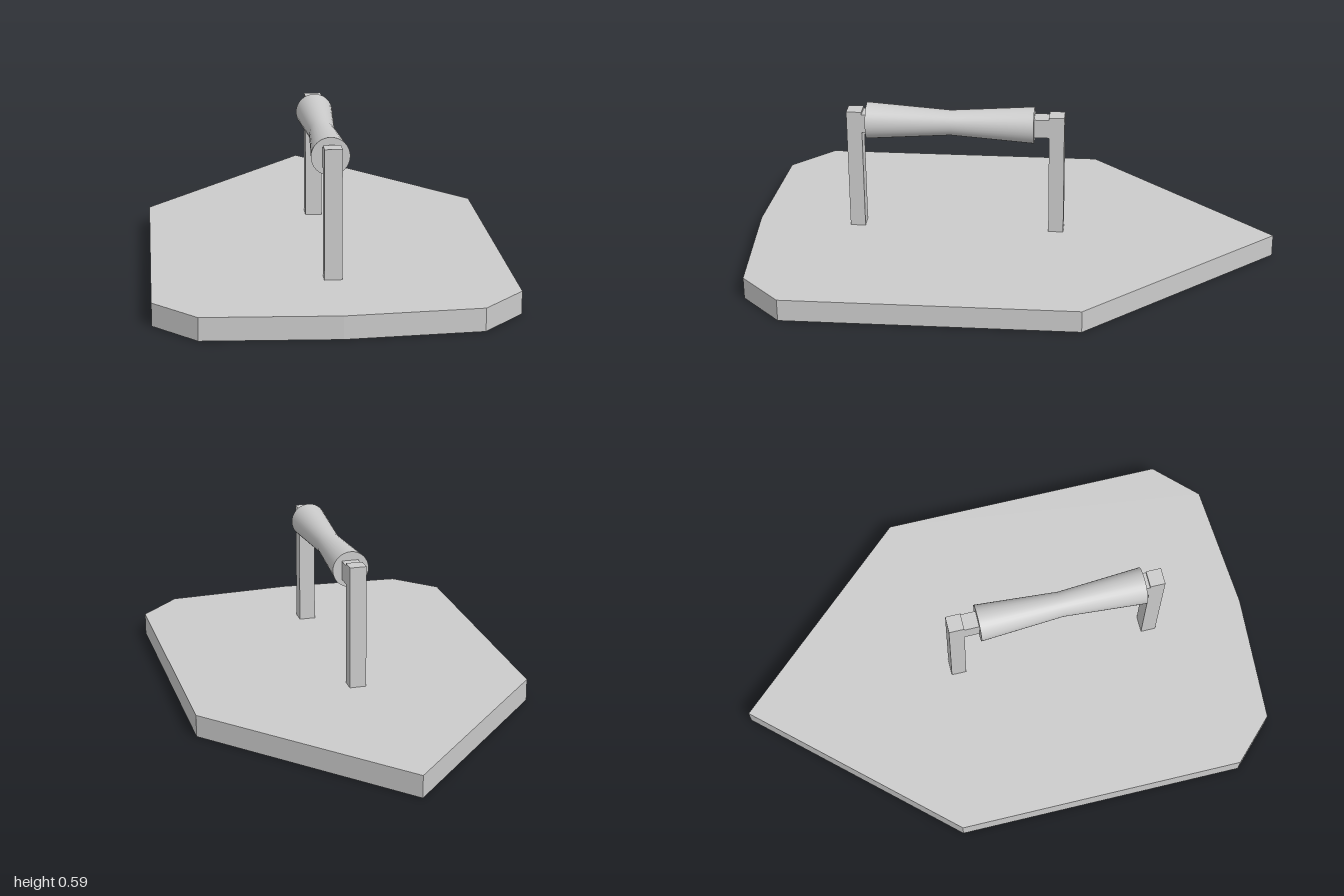
import * as THREE from 'three';

const material = new THREE.MeshStandardMaterial({ color: 0xcccccc });

function add(parent, name, geometry, x, y, z) {
  const mesh = new THREE.Mesh(geometry, material);
  mesh.name = name;
  mesh.position.set(x, y, z);
  parent.add(mesh);
  return mesh;
}

// Box given by its limits in y and z, centred on x = 0
function bar(parent, name, y0, y1, z0, z1) {
  add(parent, name, new THREE.BoxGeometry(0.064, y1 - y0, z1 - z0), 0, (y0 + y1) / 2, (z0 + z1) / 2);
}

export function createModel() {
  const model = new THREE.Group();
  model.name = 'pointedPlateWithHandle';

  // Base plate: one half of the outline, mirrored, pointed at the back
  const half = [[0.645, -0.29], [0.645, 0.815], [0.49, 0.97]];
  const outline = [[0, -1], ...half, [0, 1], ...half.map(([x, z]) => [-x, z]).reverse()];
  const shape = new THREE.Shape(outline.map(([x, z]) => new THREE.Vector2(x, -z)));
  const plate = new THREE.ExtrudeGeometry(shape, { depth: 0.085, bevelEnabled: false });
  plate.rotateX(-Math.PI / 2);
  add(model, 'basePlate', plate, 0, 0, 0);

  // Handle: two posts, each with a short arm reaching to the grip
  const handle = new THREE.Group();
  handle.name = 'handle';
  model.add(handle);
  bar(handle, 'frontPost', 0.085, 0.565, 0.582, 0.64);
  bar(handle, 'frontArm', 0.482, 0.555, 0.56, 0.582);
  bar(handle, 'backPost', 0.085, 0.565, -0.19, -0.132);
  bar(handle, 'backArm', 0.482, 0.555, -0.132, -0.07);

  // Waisted grip along z, closed by a disc at each end
  const grip = new THREE.Group();
  grip.name = 'grip';
  grip.position.set(-0.003, 0.519, 0.245);
  handle.add(grip);
  const radius = 0.07, reach = 0.32;
  const profile = [[radius, -reach], [0.048, 0], [radius, reach]].map(([r, y]) => new THREE.Vector2(r, y));
  add(grip, 'gripBody', new THREE.LatheGeometry(profile, 32), 0, 0, 0).rotation.x = Math.PI / 2;
  add(grip, 'gripFrontCap', new THREE.CircleGeometry(radius, 32), 0, 0, reach);
  add(grip, 'gripBackCap', new THREE.CircleGeometry(radius, 32), 0, 0, -reach).rotation.y = Math.PI;

  return model;
}
